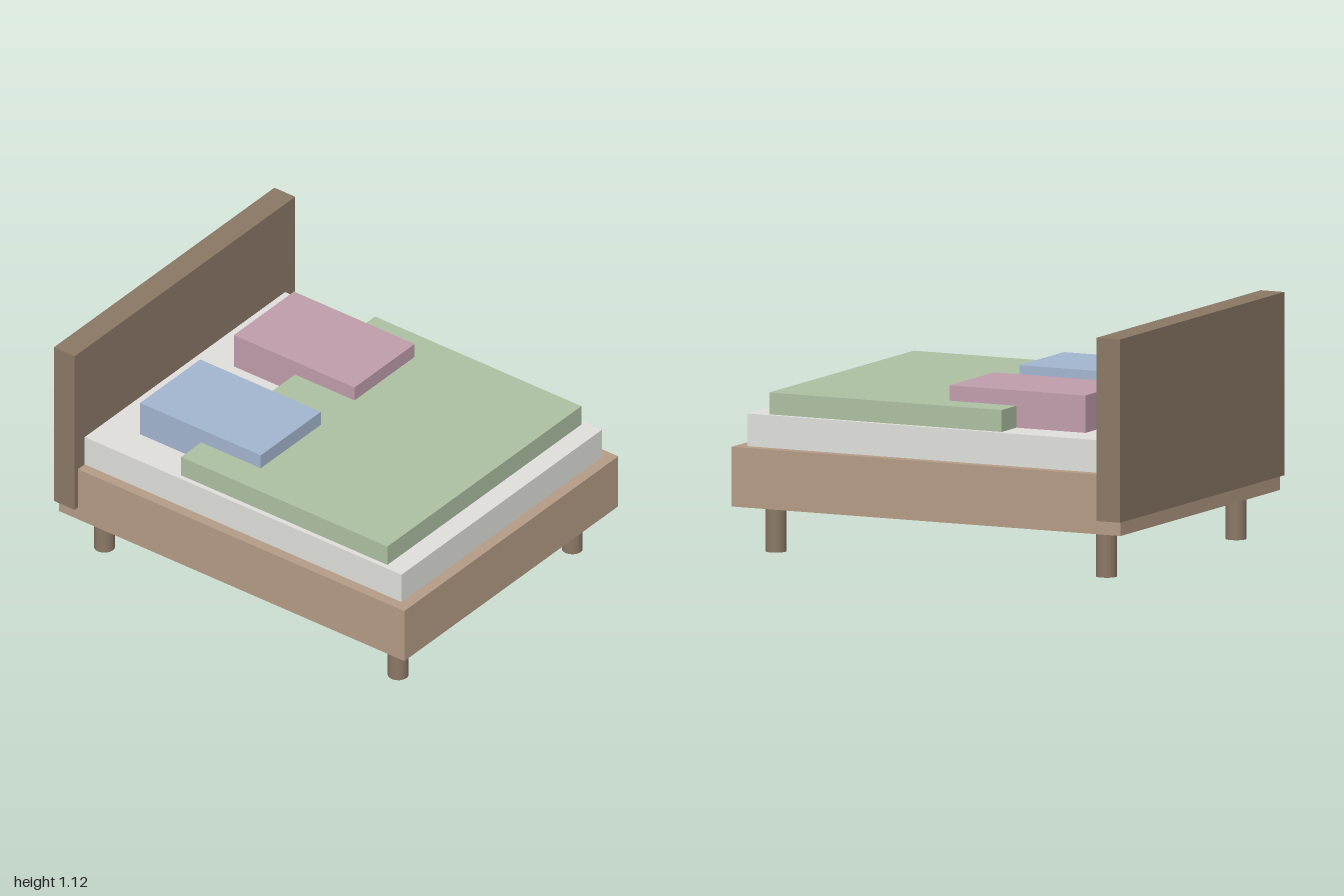
import * as THREE from 'three';

const material = (name, color) => {
  const m = new THREE.MeshStandardMaterial({ color });
  m.name = name;
  return m;
};

// Box given by its [min, max] extent on each axis
function box(name, mat, [x0, x1], [y0, y1], [z0, z1]) {
  const mesh = new THREE.Mesh(new THREE.BoxGeometry(x1 - x0, y1 - y0, z1 - z0), mat);
  mesh.position.set((x0 + x1) / 2, (y0 + y1) / 2, (z0 + z1) / 2);
  mesh.name = name;
  return mesh;
}

export function createModel() {
  const lightWood = material('light wood', 0xb59c86);
  const darkWood = material('dark wood', 0x8b7866);
  const linen = material('linen', 0xe0dfdc);
  const green = material('green cloth', 0xadc1a3);
  const blue = material('blue cloth', 0xa3b6d0);
  const pink = material('pink cloth', 0xc19eac);

  const bed = new THREE.Group();
  bed.name = 'bed';

  // Frame, headboard and bedding
  bed.add(
    box('frame', lightWood, [-0.99, 1], [0.215, 0.49], [-0.795, 0.795]),
    box('headboard', darkWood, [-1, -0.88], [0.28, 1.124], [-0.82, 0.82]),
    box('mattress', linen, [-0.94, 0.945], [0.49, 0.64], [-0.745, 0.745]),
    box('blanket', green, [-0.343, 0.845], [0.64, 0.741], [-0.721, 0.721]),
    box('leftPillow', blue, [-0.695, 0], [0.64, 0.812], [0.125, 0.572]),
    box('rightPillow', pink, [-0.695, 0], [0.64, 0.812], [-0.572, -0.125])
  );

  // Four round legs
  const legGeometry = new THREE.CylinderGeometry(0.048, 0.048, 0.215, 16);
  for (const x of [-0.842, 0.85]) {
    for (const z of [-0.647, 0.647]) {
      const leg = new THREE.Mesh(legGeometry, darkWood);
      leg.position.set(x, 0.1075, z);
      leg.name = 'leg';
      bed.add(leg);
    }
  }
  return bed;
}
